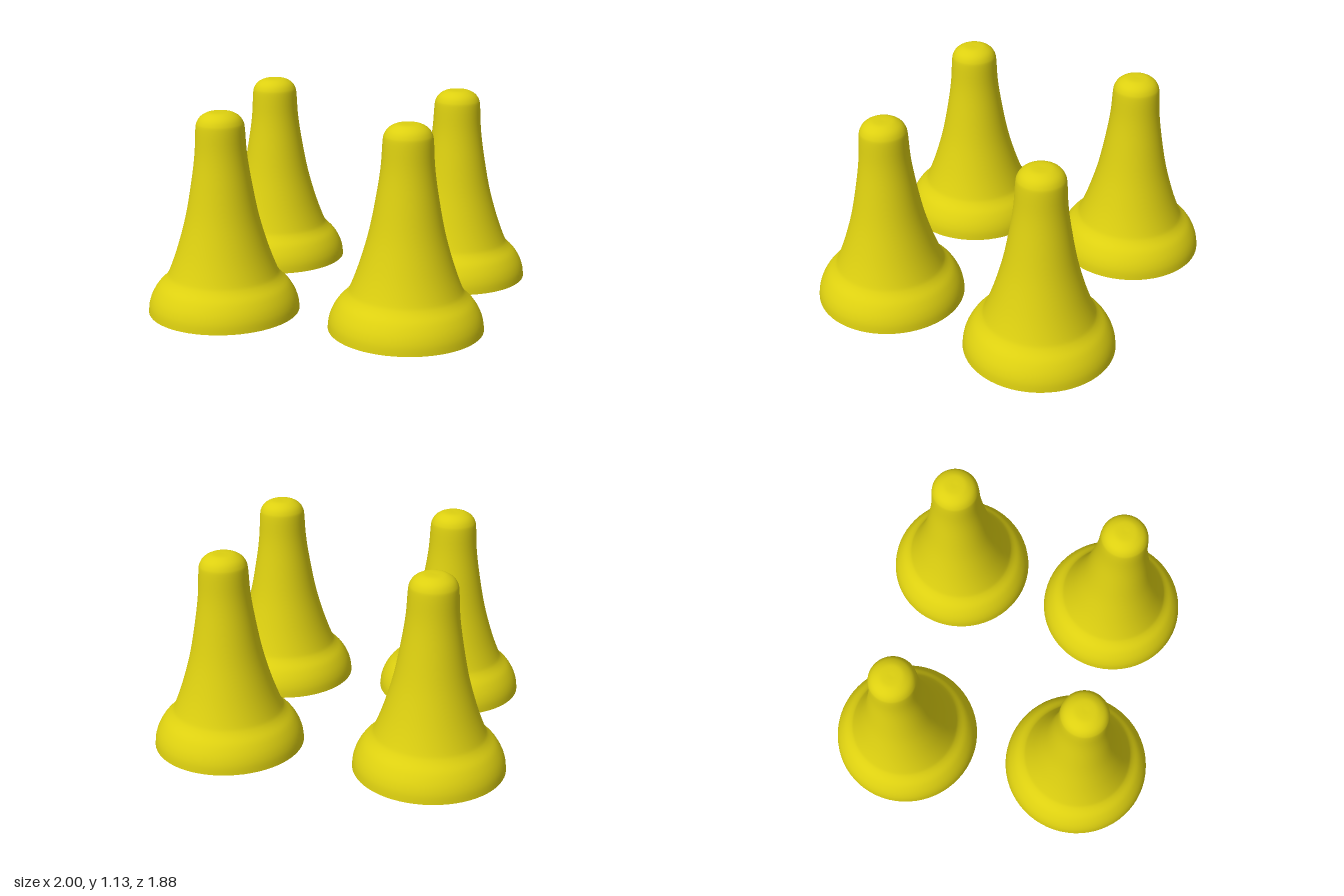
import * as THREE from 'three';

export function createModel() {
  const group = new THREE.Group();
  const yellow = new THREE.MeshStandardMaterial({ color: 0xddd010, side: THREE.DoubleSide });
  yellow.name = 'yellow';

  // Outline from the open rim, over the rounded skirt, up the flared neck to the domed tip
  const outline = [
    [0.422, 0], [0.416, 0.05], [0.398, 0.1], [0.366, 0.15], [0.322, 0.195], [0.297, 0.24],
    [0.25, 0.37], [0.2, 0.55], [0.161, 0.76], [0.142, 0.9], [0.134, 1.03],
    [0.126, 1.07], [0.105, 1.1], [0.07, 1.12], [0.035, 1.125], [0, 1.125],
  ].map(([r, y]) => new THREE.Vector2(r, y));
  const profile = new THREE.SplineCurve(outline).getPoints(60);
  profile.forEach((p) => { p.x = Math.max(p.x, 0); });
  const shell = new THREE.LatheGeometry(profile, 64);

  // Four hollow cones, slightly unevenly spaced
  const places = {
    frontLeftCone: [0.525, 0.505],
    frontRightCone: [-0.522, 0.514],
    backLeftCone: [0.578, -0.475],
    backRightCone: [-0.578, -0.519],
  };
  for (const [name, [x, z]] of Object.entries(places)) {
    const cone = new THREE.Mesh(shell, yellow);
    cone.name = name;
    cone.position.set(x, 0, z);
    group.add(cone);
  }
  return group;
}
